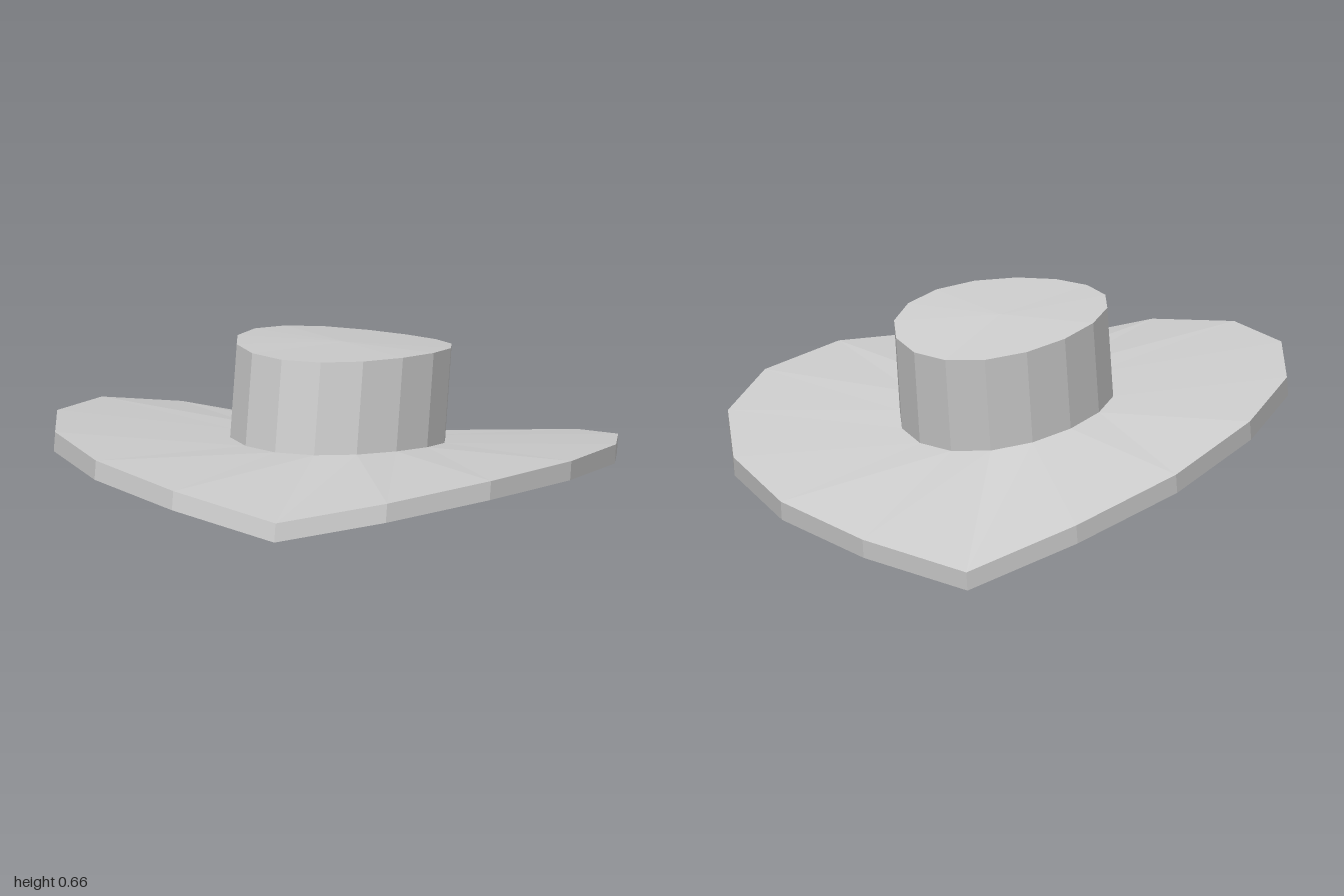
import * as THREE from 'three';

const SIDES = 16;
const THICKNESS = new THREE.Vector3(0, -0.057, 0.008);

// Elliptical ring, counter-clockwise seen from above, starting at the front
function ring(rx, rz, cz, height) {
  return Array.from({ length: SIDES }, (_, i) => {
    const a = (i / SIDES) * Math.PI * 2;
    return new THREE.Vector3(rx * Math.sin(a), height(i, Math.cos(a)), cz + rz * Math.cos(a));
  });
}

// Faces between two rings; a ring of one point makes a fan
function band(name, lower, upper, material) {
  const points = [];
  const at = (r, i) => r[i % r.length];
  for (let i = 0; i < SIDES; i++) {
    if (lower.length > 1) points.push(at(lower, i), at(lower, i + 1), at(upper, i + 1));
    if (upper.length > 1) points.push(at(lower, i), at(upper, i + 1), at(upper, i));
  }
  const geometry = new THREE.BufferGeometry().setFromPoints(points);
  geometry.computeVertexNormals();
  const mesh = new THREE.Mesh(geometry, material);
  mesh.name = name;
  return mesh;
}

export function createModel() {
  const material = new THREE.MeshStandardMaterial({ color: 0xcccccc, flatShading: true });
  const group = new THREE.Group();
  group.name = 'hat';

  // Warped brim edge: height at each corner, dipping at two opposite points
  const edge = [0.408, 0.33, 0.375, 0.395, 0.38, 0.34, 0.28, 0.215,
    0.145, 0.06, 0.185, 0.29, 0.38, 0.43, 0.455, 0.447];
  const outerTop = ring(0.8, 0.993, -0.007, (i) => edge[i]);
  const innerTop = ring(0.305, 0.38, -0.013, (i, c) => 0.34 + 0.05 * c + 0.02 * (1 - c * c));
  const drop = (r) => r.map((p) => p.clone().add(THICKNESS));
  const outerBottom = drop(outerTop);
  const innerBottom = drop(innerTop);

  // Crown leaning back, with a slightly bowed top
  const crownTop = ring(0.305, 0.38, -0.053, (i, c) => 0.62 + 0.045 * c + 0.02 * (1 - c * c));
  const crownCentre = [new THREE.Vector3(0, 0.637, -0.053)];
  const hollowTip = [new THREE.Vector3(0, 0.59, -0.05)];

  group.add(
    band('brimTop', outerTop, innerTop, material),
    band('brimEdge', outerBottom, outerTop, material),
    band('brimUnderside', innerBottom, outerBottom, material),
    band('crownWall', innerTop, crownTop, material),
    band('crownTop', crownTop, crownCentre, material),
    // Conical hollow under the crown
    band('crownHollow', hollowTip, innerBottom, material),
  );
  return group;
}
